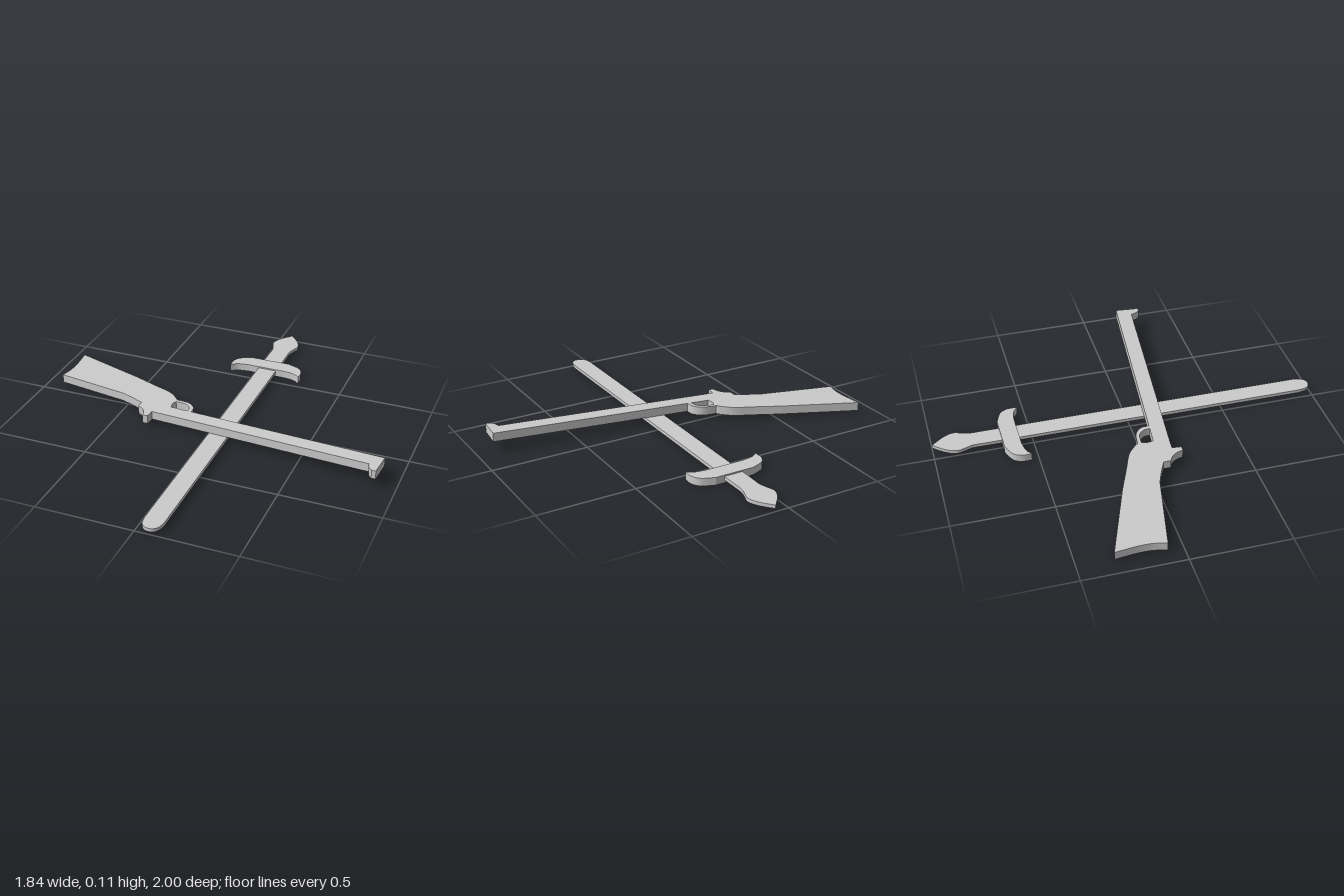
import * as THREE from 'three';

const material = new THREE.MeshStandardMaterial({ color: 0xcccccc });

// Flat plate: runs are lists of [x, z]. A run of two points is a straight edge,
// a longer run is a smooth curve; each run continues from the previous one.
function plate(name, runs, bottom, top) {
  const shape = new THREE.Shape();
  const v = ([x, z]) => new THREE.Vector2(x, -z);
  const start = v(runs[0][0]);
  shape.moveTo(start.x, start.y);
  for (const run of runs) {
    const p = run.map(v);
    if (!shape.currentPoint.equals(p[0])) shape.lineTo(p[0].x, p[0].y);
    if (p.length > 2) shape.splineThru(p.slice(1));
    else if (p.length === 2) shape.lineTo(p[1].x, p[1].y);
  }
  const geometry = new THREE.ExtrudeGeometry(shape, {
    depth: top - bottom, bevelEnabled: false, curveSegments: 5,
  });
  geometry.rotateX(-Math.PI / 2).translate(0, bottom, 0);
  const mesh = new THREE.Mesh(geometry, material);
  mesh.name = name;
  return mesh;
}

export function createModel() {
  const model = new THREE.Group();

  // Sword: pommel, grip and blade in one thin plate
  const sword = new THREE.Group();
  sword.name = 'sword';
  const blade = plate('bladeAndGrip', [
    [[0.071, -1], [0.02, -0.94], [-0.003, -0.886], [0.008, -0.84], [0.02, -0.8], [0.02, -0.74]],
    [[0.02, 0.93], [0.027, 0.97], [0.045, 0.993], [0.07, 1], [0.095, 0.993], [0.112, 0.97], [0.119, 0.93]],
    [[0.119, -0.74], [0.119, -0.8], [0.13, -0.84], [0.142, -0.886], [0.12, -0.94], [0.071, -1]],
  ], 0.015, 0.033);

  // Curved crossguard, thicker than the blade
  const guard = plate('crossguard', [
    [[-0.131, -0.535], [-0.132, -0.585], [-0.106, -0.627], [-0.04, -0.655]],
    [[0.165, -0.655], [0.231, -0.627], [0.257, -0.585], [0.257, -0.535]],
    [[0.257, -0.535], [0.222, -0.558], [0.165, -0.568]],
    [[-0.04, -0.568], [-0.097, -0.558], [-0.131, -0.535]],
  ], 0, 0.04);
  sword.add(blade, guard);

  // Rifle: slightly tilted so that the barrel lies over the blade
  const rifle = new THREE.Group();
  rifle.name = 'rifle';
  const low = -0.0225, high = 0.0225;

  // Stock with the lock lug, ending at the breech
  const stock = plate('stock', [
    [[-0.918, -0.325], [-0.532, -0.183]],
    [[-0.532, -0.183], [-0.4, -0.128], [-0.3, -0.087], [-0.246, -0.043], [-0.223, -0.012]],
    [[-0.223, -0.012], [-0.235, 0.02], [-0.23, 0.056]],
    [[-0.23, 0.137], [-0.304, 0.13]],
    [[-0.304, 0.13], [-0.308, 0.177]],
    [[-0.336, 0.177], [-0.342, 0.15], [-0.362, 0.118], [-0.394, 0.098]],
    [[-0.394, 0.061], [-0.46, 0.03], [-0.526, 0.003]],
    [[-0.923, -0.077], [-0.909, -0.14], [-0.907, -0.21], [-0.918, -0.325]],
  ], low, high);

  // Barrel with the front sight post
  const barrel = plate('barrel', [
    [[-0.23, 0.056], [0.918, 0.172]],
    [[0.907, 0.296], [0.886, 0.296]],
    [[0.886, 0.296], [0.868, 0.275], [0.86, 0.246]],
    [[-0.23, 0.137], [-0.23, 0.056]],
  ], low, high);

  // Trigger guard loop
  const triggerGuard = plate('triggerGuard', [
    [[-0.235, -0.024], [-0.161, -0.013], [-0.119, 0.024], [-0.113, 0.075]],
    [[-0.135, 0.075], [-0.14, 0.033], [-0.172, 0.003], [-0.235, -0.004]],
  ], low, high);

  rifle.add(stock, barrel, triggerGuard);
  rifle.position.y = 0.055;
  rifle.rotation.z = 0.03;

  model.add(sword, rifle);
  return model;
}
